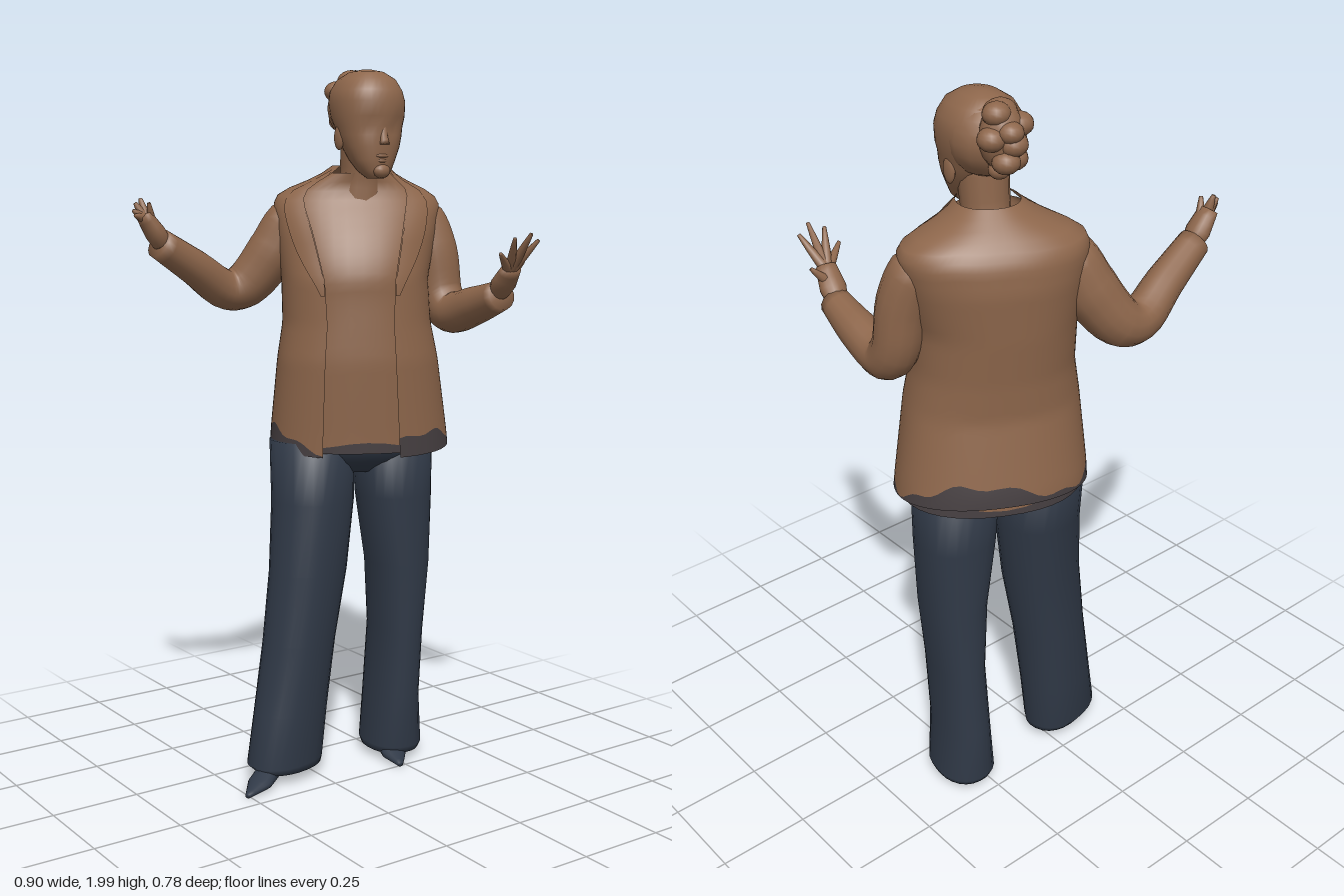
import * as THREE from 'three';

const V = (x, y, z) => new THREE.Vector3(x, y, z);
const lerp = THREE.MathUtils.lerp, RAD = Math.PI / 180;
const mat = (name, color) => {
  const m = new THREE.MeshStandardMaterial({ color, side: THREE.DoubleSide });
  m.name = name;
  return m;
};

// Skin a list of point rows; the winding faces outward when rows run upward.
function skin(rows, closed = true) {
  const n = rows[0].length, pos = [], idx = [];
  rows.flat().forEach(p => pos.push(p.x, p.y, p.z));
  for (let r = 0; r < rows.length - 1; r++)
    for (let j = 0; j < (closed ? n : n - 1); j++) {
      const k = (j + 1) % n, a = r * n + j, b = r * n + k;
      idx.push(a, a + n, b, b, a + n, b + n);
    }
  if (closed) [0, rows.length - 1].forEach(r => {
    const c = rows[r].reduce((s, p) => s.add(p), V(0, 0, 0)).divideScalar(n);
    const m = pos.length / 3;
    pos.push(c.x, c.y, c.z);
    for (let j = 0; j < n; j++) {
      const a = r * n + j, b = r * n + (j + 1) % n;
      r ? idx.push(a, m, b) : idx.push(a, b, m);
    }
  });
  const g = new THREE.BufferGeometry();
  g.setAttribute('position', new THREE.Float32BufferAttribute(pos, 3));
  g.setIndex(idx);
  g.computeVertexNormals();
  return g;
}

// Point on a level, turned oval: spec = [y, cx, cz, rx, rz]
const oval = ([y, cx, cz, rx, rz], deg, turn, s = 1) => {
  const a = deg * RAD, t = turn * RAD, soft = v => Math.sign(v) * Math.abs(v) ** 0.9;
  const u = rx * s * soft(Math.cos(a)), w = rz * s * soft(Math.sin(a));
  return V(cx + u * Math.cos(t) - w * Math.sin(t), y, cz + u * Math.sin(t) + w * Math.cos(t));
};
const stack = (specs, turn, n = 24, dent = () => 1) => skin(specs.map(s =>
  Array.from({ length: n }, (_, j) => oval(s, j * 360 / n, turn, dent(s[0], j * 360 / n)))));

// Tapered limb along a smooth path; each radius is [across, deep] or one number.
function limb(pts, radii, steps = 16, n = 14) {
  const curve = new THREE.CatmullRomCurve3(pts.map(p => V(...p)));
  const pairs = radii.map(r => Array.isArray(r) ? r : [r, r]), rows = [];
  let p = null;
  for (let i = 0; i <= steps; i++) {
    const c = curve.getPoint(i / steps), T = curve.getTangent(i / steps);
    p = p ? p.clone().addScaledVector(T, -T.dot(p)).normalize() : V(0, 1, 0.01).cross(T).normalize();
    const q = p.clone().cross(T), f = i / steps * (pairs.length - 1);
    const k = Math.min(Math.floor(f), pairs.length - 2);
    const [ra, rb] = [0, 1].map(e => lerp(pairs[k][e], pairs[k + 1][e], f - k));
    rows.push(Array.from({ length: n }, (_, j) => {
      const a = j / n * Math.PI * 2;
      return c.clone().addScaledVector(p, ra * Math.cos(a)).addScaledVector(q, rb * Math.sin(a));
    }));
  }
  return skin(rows);
}

// Torso sections: y, cx, cz, rx, rz, opening start and end angle
const TURN = 27;
const TORSO = [
  [0.92, 0.176, -0.135, 0.257, 0.186, 72, 117], [1.0, 0.172, -0.133, 0.25, 0.186, 72, 117],
  [1.2, 0.155, -0.115, 0.226, 0.172, 71, 117], [1.3, 0.155, -0.12, 0.208, 0.172, 70, 117],
  [1.42, 0.155, -0.13, 0.205, 0.175, 67, 118], [1.55, 0.175, -0.152, 0.226, 0.155, 64, 125],
  [1.62, 0.186, -0.165, 0.236, 0.132, 62, 130], [1.65, 0.186, -0.168, 0.222, 0.112, 57, 133],
  [1.675, 0.182, -0.162, 0.18, 0.098, 50, 137], [1.7, 0.175, -0.145, 0.115, 0.09, 45, 140],
  [1.73, 0.17, -0.125, 0.078, 0.075, 40, 140],
];
function torsoAt(y) {
  let i = 0;
  while (i < TORSO.length - 2 && TORSO[i + 1][0] < y) i++;
  const f = (y - TORSO[i][0]) / (TORSO[i + 1][0] - TORSO[i][0]);
  return TORSO[i].map((v, k) => lerp(v, TORSO[i + 1][k], f));
}
// Sheet following the torso; angles and heights may vary over it.
function sheet(rowsN, cols, angle, height, scale) {
  const rows = [];
  for (let r = 0; r <= rowsN; r++) {
    rows.push([]);
    for (let j = 0; j <= cols; j++) {
      const a0 = angle(1.0, j / cols), y = lerp(height(0, a0), height(1, a0), r / rowsN);
      const a = angle(y, j / cols);
      rows[r].push(oval(torsoAt(y), a, TURN, scale(y, a)));
    }
  }
  return skin(rows, false);
}

export function createModel() {
  const model = new THREE.Group();
  const brown = mat('warm brown', 0x8d664b), navy = mat('navy cloth', 0x303947), grey = mat('dark hem', 0x463f41);
  const add = (name, geo, m = brown, at = [0, 0, 0]) => {
    const mesh = new THREE.Mesh(geo, m);
    mesh.name = name;
    mesh.position.set(...at);
    model.add(mesh);
    return mesh;
  };
  const ball = (name, at, s) => add(name, new THREE.SphereGeometry(1, 14, 10), brown, at).scale.set(...s);

  // Open jacket with a wavy dark hem
  const around = (y, f) => { const s = torsoAt(y); return lerp(s[6], s[5] + 360, f); };
  const hemLow = a => 0.955 - 0.022 * Math.sin(a * RAD);
  const hemTop = a => hemLow(a) + 0.036 + 0.026 * Math.sin((3 * a - 60) * RAD) + 0.008 * Math.sin((11 * a + 40) * RAD);
  add('jacket', sheet(36, 60, around, (e, a) => e ? 1.73 : hemTop(a), () => 1));
  add('jacketHem', sheet(2, 60, around, (e, a) => e ? hemTop(a) : hemLow(a), () => 1), grey);

  // Lapels folded back from the opening
  for (const side of [0, 1]) {
    const angle = (y, f) => {
      const s = torsoAt(y), w = 22 * Math.sin(Math.PI * Math.min(1, Math.max(0.05, (y - 1.36) / 0.42)));
      return side ? s[6] + w * f : s[5] - w * (1 - f);
    };
    add(side ? 'rightLapel' : 'leftLapel', sheet(12, 4, angle, e => e ? 1.72 : 1.38, () => 1.025));
  }

  // Shirt with a fuller bust
  const full = (y, f) => f * 360;
  const bust = (y, a) => 0.93 + 0.055 * Math.exp(-(((y - 1.48) / 0.07) ** 2)) * Math.max(0, Math.sin(a * RAD));
  add('shirt', sheet(30, 36, full, (e, a) => e ? 1.71 : 0.968 + 0.008 * Math.sin(5 * a * RAD), bust));
  add('shirtHem', sheet(1, 36, full, (e, a) => e ? 0.968 + 0.008 * Math.sin(5 * a * RAD) : 0.945, () => 0.93), grey);

  // Hips and trouser legs
  add('hips', stack([[0.875, 0.15, -0.138, 0.1, 0.06], [0.91, 0.15, -0.14, 0.19, 0.1],
    [0.95, 0.15, -0.14, 0.226, 0.13], [1.02, 0.15, -0.14, 0.225, 0.14]], TURN), navy);
  add('rightLeg', stack([[0.035, -0.07, -0.14, 0.108, 0.076], [0.055, -0.078, -0.143, 0.122, 0.086],
    [0.2, -0.055, -0.147, 0.115, 0.088], [0.4, -0.025, -0.147, 0.107, 0.094],
    [0.6, 0.005, -0.145, 0.115, 0.1], [0.8, 0.03, -0.157, 0.118, 0.11], [0.97, 0.04, -0.175, 0.118, 0.115]], -14), navy);
  add('leftLeg', stack([[0.025, 0.285, -0.128, 0.076, 0.094], [0.045, 0.286, -0.128, 0.083, 0.104],
    [0.2, 0.282, -0.12, 0.068, 0.106], [0.4, 0.288, -0.11, 0.067, 0.104],
    [0.6, 0.285, -0.1, 0.085, 0.106], [0.8, 0.272, -0.1, 0.107, 0.108], [0.97, 0.265, -0.1, 0.115, 0.11]], 5), navy);

  // Pointed shoes with slim heels
  const shoe = (name, pts, heel) => {
    add(name, limb(pts, [[0.026, 0.03], [0.034, 0.03], [0.036, 0.018], [0.008, 0.007]], 12), navy);
    add(name + 'Heel', new THREE.CylinderGeometry(0.016, 0.009, 0.06, 10), navy, heel);
  };
  shoe('rightShoe', [[-0.07, 0.05, -0.165], [-0.13, 0.04, -0.13], [-0.2, 0.022, -0.085], [-0.262, 0.012, -0.047]], [-0.07, 0.035, -0.168]);
  shoe('leftShoe', [[0.28, 0.05, -0.18], [0.265, 0.04, -0.12], [0.245, 0.022, -0.05], [0.225, 0.012, 0.008]], [0.28, 0.04, -0.19]);

  // Sleeves, starting inside the shoulders
  add('rightSleeve', limb([[0.07, 1.615, -0.22], [0.02, 1.575, -0.255], [-0.02, 1.49, -0.285], [-0.085, 1.4, -0.325],
    [-0.14, 1.388, -0.335], [-0.25, 1.452, -0.317], [-0.37, 1.522, -0.3]], [0.03, 0.068, 0.074, 0.066, 0.057, 0.05, 0.042], 30));
  add('leftSleeve', limb([[0.31, 1.615, -0.1], [0.352, 1.575, -0.075], [0.375, 1.49, -0.05], [0.385, 1.37, -0.03],
    [0.386, 1.325, 0.015], [0.382, 1.35, 0.13], [0.37, 1.385, 0.25]], [0.03, 0.066, 0.067, 0.063, 0.06, 0.053, 0.041], 30));

  // Hands
  const hand = (side, wrist, palm, tips) => {
    add(side + 'Palm', limb([wrist, palm], [0.024, [0.036, 0.028], [0.028, 0.02]], 6));
    tips.forEach((t, i) => add(side + (i ? 'Finger' + i : 'Thumb'),
      limb([wrist.map((v, k) => lerp(v, palm[k], i ? 0.85 : 0.5)), t], [0.016, 0.013, 0.005], 5, 8)));
  };
  hand('left', [0.372, 1.39, 0.235], [0.355, 1.46, 0.305], [[0.412, 1.475, 0.288],
    [0.29, 1.5, 0.335], [0.315, 1.54, 0.362], [0.348, 1.552, 0.388], [0.388, 1.535, 0.372]]);
  hand('right', [-0.36, 1.52, -0.3], [-0.415, 1.6, -0.302], [[-0.41, 1.63, -0.278],
    [-0.448, 1.597, -0.285], [-0.446, 1.61, -0.3], [-0.434, 1.63, -0.312], [-0.416, 1.642, -0.315]]);

  // Neck and head, with eye sockets pressed in
  add('neck', limb([[0.17, 1.62, -0.13], [0.168, 1.7, -0.115], [0.165, 1.82, -0.1]], [0.075, 0.06, 0.065], 8));
  const socket = (y, a) => 1 - 0.07 * Math.exp(-(((y - 1.835) / 0.018) ** 2)) *
    (Math.exp(-(((a - 67) / 14) ** 2)) + Math.exp(-(((a - 113) / 14) ** 2)));
  add('head', stack([[1.695, 0.153, -0.03, 0.022, 0.026], [1.715, 0.155, -0.038, 0.045, 0.044],
    [1.745, 0.156, -0.05, 0.062, 0.06], [1.78, 0.16, -0.062, 0.077, 0.075], [1.81, 0.162, -0.072, 0.086, 0.086],
    [1.835, 0.163, -0.077, 0.09, 0.092], [1.86, 0.165, -0.084, 0.097, 0.103], [1.9, 0.166, -0.09, 0.1, 0.112],
    [1.93, 0.166, -0.093, 0.094, 0.106], [1.96, 0.166, -0.093, 0.076, 0.088], [1.98, 0.166, -0.093, 0.045, 0.055],
    [1.987, 0.166, -0.093, 0.015, 0.02]], 9, 36, socket));
  add('nose', limb([[0.155, 1.84, 0.002], [0.152, 1.81, 0.008], [0.151, 1.785, 0.014]], [0.008, 0.011, 0.014], 6, 10));
  ball('upperLip', [0.152, 1.755, 0.002], [0.024, 0.007, 0.012]);
  ball('lowerLip', [0.152, 1.742, 0.001], [0.02, 0.007, 0.011]);
  ball('chin', [0.153, 1.715, -0.002], [0.026, 0.02, 0.018]);
  for (const s of [-1, 1]) ball(s > 0 ? 'leftEar' : 'rightEar', [0.165 + s * 0.082, 1.805, -0.09 + s * 0.012], [0.01, 0.034, 0.02]);

  // Swept-back hair and curled bun
  ball('hairBack', [0.175, 1.885, -0.125], [0.095, 0.095, 0.1]);
  ball('bunCore', [0.198, 1.91, -0.21], [0.056, 0.078, 0.052]);
  [[0.19, 1.96, -0.195, 0.04], [0.218, 1.968, -0.215, 0.033], [0.238, 1.915, -0.222, 0.034], [0.195, 1.9, -0.247, 0.034],
    [0.16, 1.935, -0.225, 0.034], [0.215, 1.862, -0.245, 0.033], [0.172, 1.855, -0.22, 0.034], [0.21, 1.835, -0.215, 0.026],
    [0.205, 1.93, -0.25, 0.03]].forEach(([x, y, z, r], i) => ball('bunCurl' + (i + 1), [x, y, z], [r * 1.05, r * 0.85, r]));
  return model;
}
